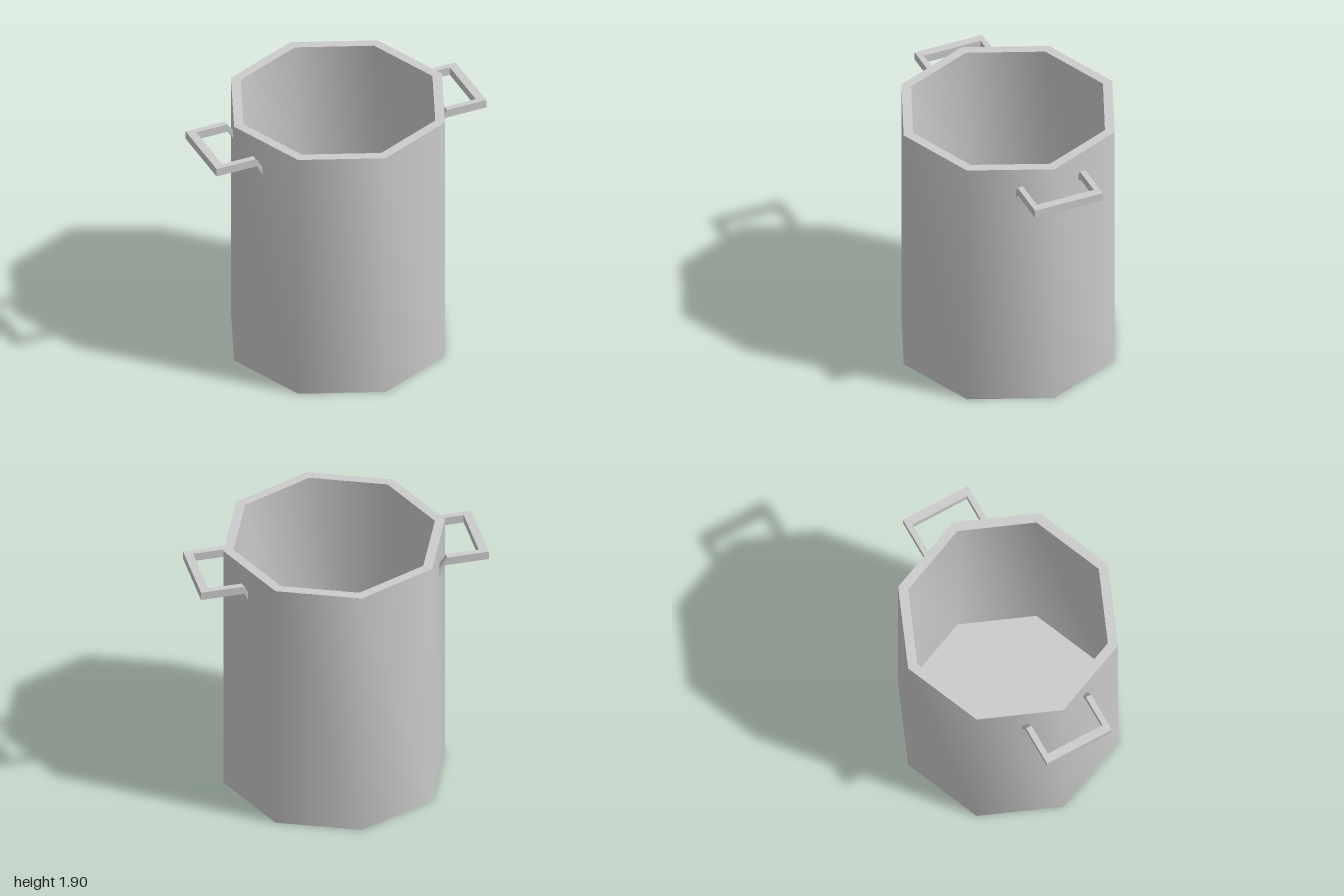
import * as THREE from 'three';
import { toCreasedNormals } from 'three/addons/utils/BufferGeometryUtils.js';

const material = new THREE.MeshStandardMaterial({ color: 0xcccccc });

function addMesh(parent, name, geometry) {
  const mesh = new THREE.Mesh(geometry, material);
  mesh.name = name;
  parent.add(mesh);
  return mesh;
}

// Handle outline in x/y; the inner end bends down into the pot wall.
function armShape(side) {
  const points = [[0.94, 1.71], [0.94, 1.77], [0.71, 1.77], [0.65, 1.68], [0.65, 1.61], [0.70, 1.71]];
  return new THREE.Shape(points.map(([x, y]) => new THREE.Vector2(side * x, y)));
}

function createHandle(side) {
  const handle = new THREE.Group();
  handle.name = side > 0 ? 'leftHandle' : 'rightHandle';

  // Grip bar
  const grip = addMesh(handle, 'grip', new THREE.BoxGeometry(0.06, 0.06, 0.5));
  grip.position.set(side * 0.97, 1.74, -0.01);

  // Two arms reaching to the wall
  for (const [name, z] of [['backArm', -0.26], ['frontArm', 0.2]]) {
    const geometry = new THREE.ExtrudeGeometry(armShape(side), { depth: 0.04, bevelEnabled: false });
    addMesh(handle, name, geometry).position.z = z;
  }
  return handle;
}

export function createModel() {
  const model = new THREE.Group();
  model.name = 'pot';

  // Eight-sided hollow body: underside, outer wall, rim, inner wall, floor
  const profile = [[0, 0], [0.77, 0], [0.77, 1.9], [0.7, 1.9], [0.7, 0.06], [0, 0.06]]
    .map(([r, y]) => new THREE.Vector2(r, y));
  const body = addMesh(model, 'body', toCreasedNormals(new THREE.LatheGeometry(profile, 8), 1.2));
  body.position.x = 0.01;

  // Mirrored side handles
  for (const side of [1, -1]) model.add(createHandle(side));
  return model;
}
